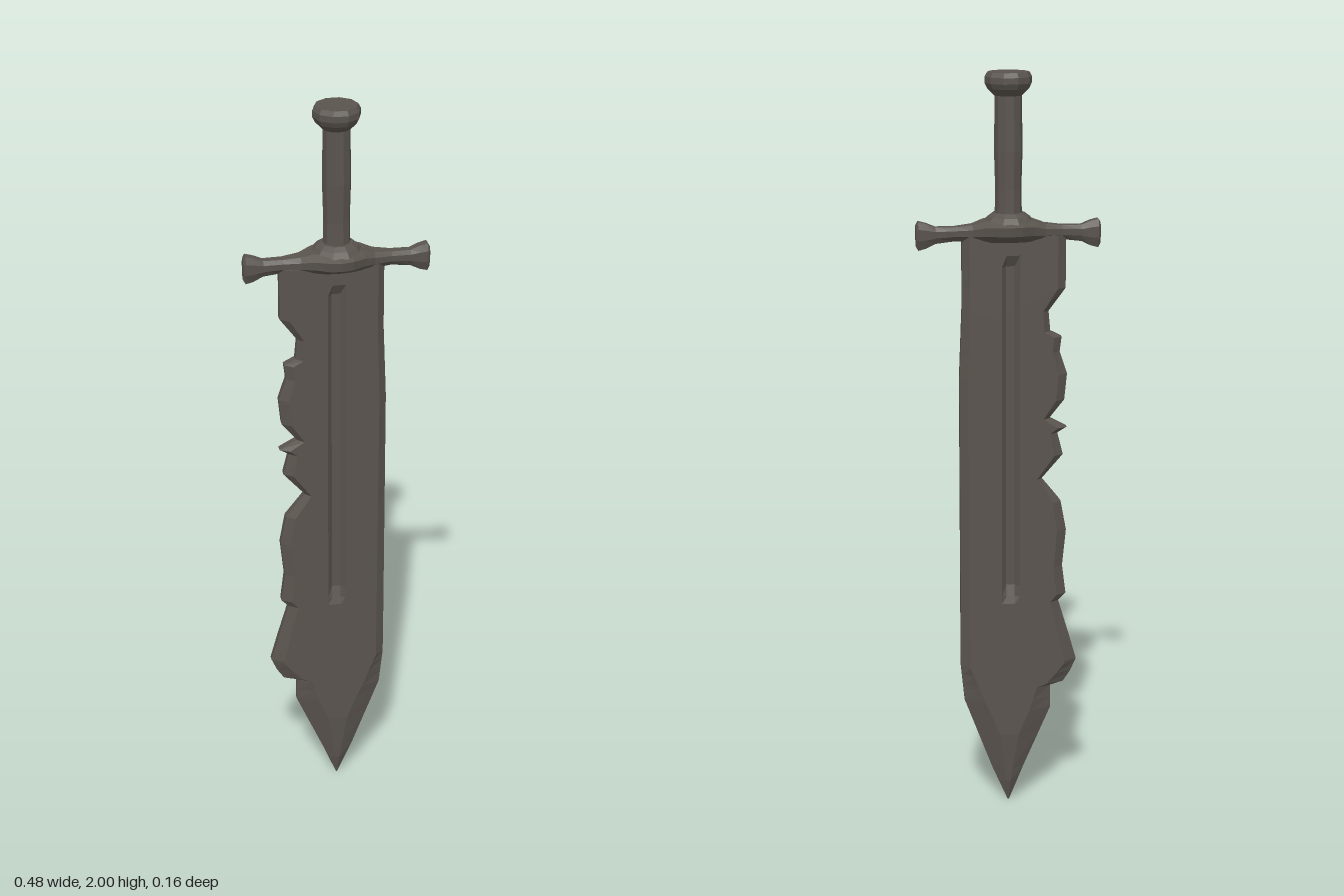
import * as THREE from 'three';

const darkSteel = new THREE.MeshStandardMaterial({ color: 0x5a544e });
darkSteel.name = 'darkSteel';

// Skin a row of equal-length rings, counter-clockwise about the travel axis, with end caps.
function loft(rings) {
  const n = rings[0].length, pos = [];
  const tri = (a, b, c) => pos.push(...a, ...b, ...c);
  for (let i = 0; i < rings.length - 1; i++) {
    for (let j = 0; j < n; j++) {
      const k = (j + 1) % n, r = rings[i], s = rings[i + 1];
      tri(r[j], r[k], s[k]);
      tri(r[j], s[k], s[j]);
    }
  }
  const first = rings[0], last = rings[rings.length - 1];
  for (let j = 1; j < n - 1; j++) {
    tri(first[0], first[j + 1], first[j]);
    tri(last[0], last[j], last[j + 1]);
  }
  const g = new THREE.BufferGeometry();
  g.setAttribute('position', new THREE.Float32BufferAttribute(pos, 3));
  g.computeVertexNormals();
  return g;
}

// Piecewise linear lookup in a list of [key, value] pairs.
function lookup(table, t) {
  if (t <= table[0][0]) return table[0][1];
  for (let i = 1; i < table.length; i++) {
    const [a, va] = table[i - 1], [b, vb] = table[i];
    if (t <= b) return va + (vb - va) * (t - a) / (b - a);
  }
  return table[table.length - 1][1];
}

// Blade outline: [height, x], battered on one edge and straight on the other.
const brokenEdge = [
  [0, -0.002], [0.1, -0.042], [0.27, -0.115], [0.335, -0.115], [0.345, -0.15], [0.375, -0.17],
  [0.41, -0.185], [0.48, -0.165], [0.58, -0.135], [0.6, -0.155], [0.68, -0.145], [0.78, -0.155],
  [0.86, -0.14], [0.925, -0.088], [0.99, -0.145], [1.05, -0.13], [1.065, -0.155], [1.09, -0.108],
  [1.14, -0.148], [1.21, -0.155], [1.27, -0.135], [1.31, -0.14], [1.325, -0.11], [1.38, -0.105],
  [1.44, -0.15], [1.58, -0.15],
];
const straightEdge = [[0, 0.002], [0.1, 0.045], [0.3, 0.12], [0.4, 0.13], [1.2, 0.13], [1.4, 0.122], [1.58, 0.122]];
const thickness = [[0, 0.001], [0.06, 0.015], [0.2, 0.027], [1.58, 0.027]];
const edgeThickness = [[0, 0.0005], [0.3, 0.006], [0.5, 0.01], [1.58, 0.01]];
const flatShare = [[0, 0.15], [0.2, 0.3], [0.4, 0.82], [1.58, 0.85]];
const grooveDepth = [[0.58, 0], [0.63, 0.016], [1.5, 0.016], [1.53, 0]];

function blade() {
  const tables = [brokenEdge, straightEdge, thickness, flatShare, grooveDepth];
  const heights = [...new Set(tables.flat().map((p) => p[0]))].sort((a, b) => a - b);
  return loft(heights.map((y) => {
    const l = lookup(brokenEdge, y), r = lookup(straightEdge, y);
    const t = lookup(thickness, y), e = lookup(edgeThickness, y);
    const k = lookup(flatShare, y), d = lookup(grooveDepth, y);
    const w = Math.min(1, y / 0.4); // the groove lines close up towards the point
    const half = [
      [l, e], [l * k, t], [-0.028 * w, t], [-0.015 * w, t - d],
      [0.007 * w, t - d], [0.02 * w, t], [r * k, t], [r, e],
    ];
    const back = half.map(([x, z]) => [x, -z]).reverse();
    return [...half, ...back].map(([x, z]) => [x, y, z]);
  }));
}

// Crossguard sections for one arm: x, half depth, bottom, top.
const arm = [
  [0.0, 0.078, 1.565, 1.625], [0.03, 0.072, 1.565, 1.625], [0.065, 0.048, 1.565, 1.62],
  [0.095, 0.03, 1.565, 1.61], [0.14, 0.02, 1.568, 1.605], [0.19, 0.017, 1.562, 1.605],
  [0.215, 0.019, 1.55, 1.615], [0.235, 0.02, 1.545, 1.62], [0.241, 0.013, 1.555, 1.61],
];

function crossguard() {
  const mirrored = arm.slice(1).reverse().map(([x, ...rest]) => [-x, ...rest]);
  return loft([...mirrored, ...arm].map(([x, d, y0, y1]) => {
    const m = (y0 + y1) / 2, h = (y1 - y0) / 2;
    // Octagon that narrows underneath
    return [
      [h, -0.6], [h, 0.6], [h * 0.5, 1], [-h * 0.3, 0.95],
      [-h, 0.45], [-h, -0.45], [-h * 0.3, -0.95], [h * 0.5, -1],
    ].map(([y, z]) => [x, m + y, z * d]);
  }));
}

// Faceted turned part from [radius, height] pairs.
function turned(profile, sides) {
  const points = profile.map(([r, y]) => new THREE.Vector2(r, y));
  const g = new THREE.LatheGeometry(points, sides, Math.PI / sides).toNonIndexed();
  g.computeVertexNormals();
  return g;
}

export function createModel() {
  const model = new THREE.Group();
  model.name = 'sword';
  const add = (name, geometry) => {
    const mesh = new THREE.Mesh(geometry, darkSteel);
    mesh.name = name;
    model.add(mesh);
  };

  add('blade', blade());
  add('crossguard', crossguard());
  add('collar', turned([[0, 1.59], [0.068, 1.6], [0.068, 1.615], [0.056, 1.63], [0.042, 1.64], [0, 1.64]], 10));
  add('grip', turned([[0, 1.62], [0.036, 1.62], [0.034, 1.7], [0.037, 1.8], [0.035, 1.95], [0, 1.95]], 10));
  add('pommel', turned([[0, 1.935], [0.036, 1.94], [0.054, 1.958], [0.061, 1.972], [0.061, 1.988], [0.054, 2], [0, 2]], 10));
  return model;
}
